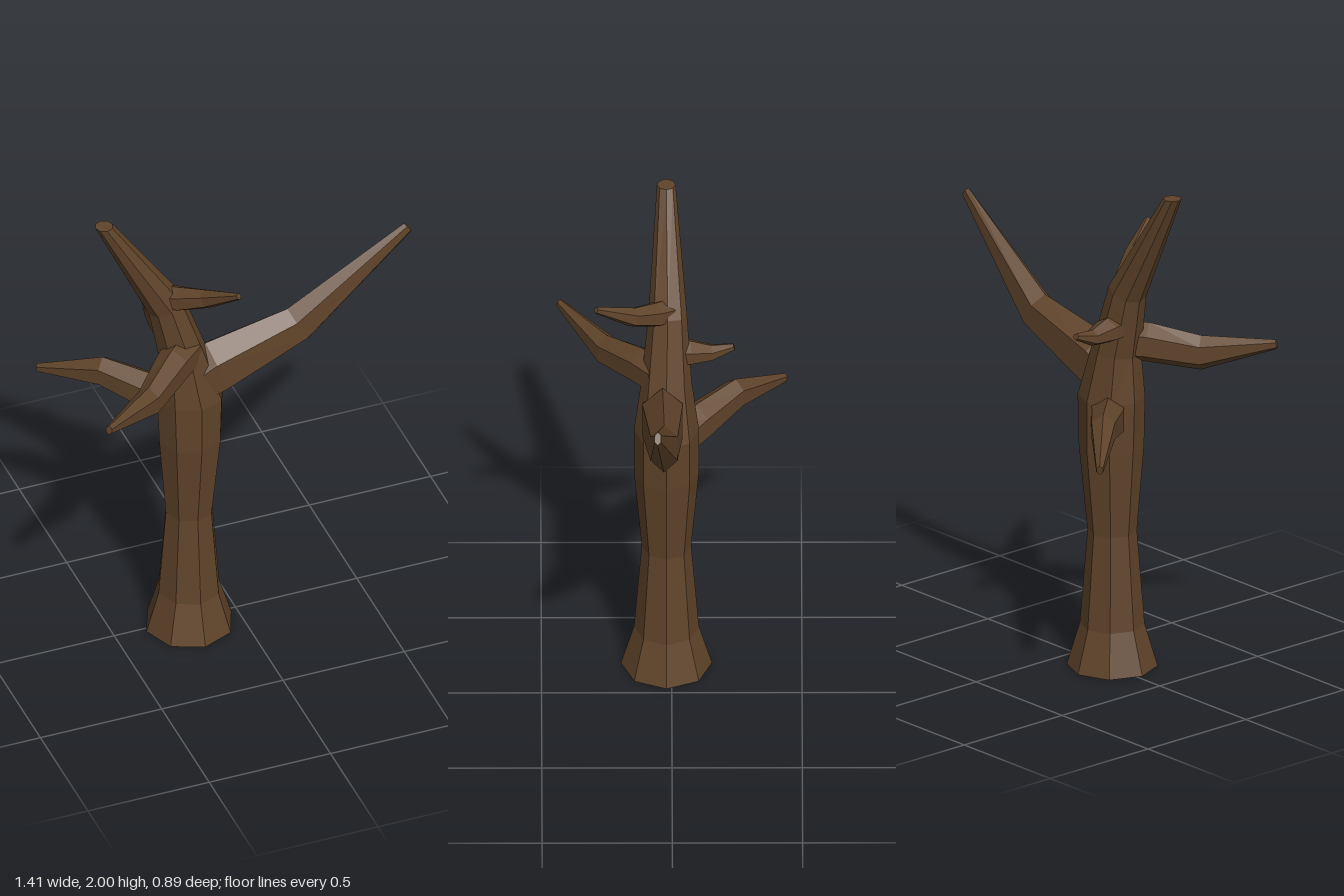
import * as THREE from 'three';

const bark = new THREE.MeshStandardMaterial({ color: 0x60442a, flatShading: true, roughness: 1 });

// Faceted limb through stations [x, y, z, radius along ref, radius across, optional ring normal].
function limb(name, sides, ref, stations) {
  const centres = stations.map(s => new THREE.Vector3(s[0], s[1], s[2]));
  const last = centres.length - 1;
  const rings = stations.map((s, k) => {
    const before = centres[k].clone().sub(centres[Math.max(k - 1, 0)]).normalize();
    const after = centres[Math.min(k + 1, last)].clone().sub(centres[k]).normalize();
    const t = s[5] ? new THREE.Vector3(...s[5]).normalize() : before.add(after).normalize();
    const u = ref.clone().addScaledVector(t, -ref.dot(t)).normalize();
    const v = t.clone().cross(u);
    return Array.from({ length: sides }, (_, i) => {
      const a = (i / sides) * Math.PI * 2;
      return centres[k].clone()
        .addScaledVector(u, Math.cos(a) * s[3])
        .addScaledVector(v, Math.sin(a) * s[4]);
    });
  });

  const points = [];
  for (let i = 0; i < sides; i++) {
    const j = (i + 1) % sides;
    for (let k = 0; k < last; k++) {
      const a = rings[k][i], b = rings[k][j], c = rings[k + 1][j], d = rings[k + 1][i];
      points.push(a, b, c, a, c, d);
    }
    // End caps
    points.push(centres[0], rings[0][j], rings[0][i]);
    points.push(centres[last], rings[last][i], rings[last][j]);
  }
  const geometry = new THREE.BufferGeometry().setFromPoints(points);
  geometry.computeVertexNormals();
  const mesh = new THREE.Mesh(geometry, bark);
  mesh.name = name;
  return mesh;
}

export function createModel() {
  const group = new THREE.Group();
  group.name = 'bareTree';
  const up = new THREE.Vector3(0, 1, 0);
  const front = new THREE.Vector3(0, 0, 1);

  group.add(
    // Trunk with flared foot, leaning into the broken top
    limb('trunk', 8, front, [
      [-0.2, 0, 0.02, 0.175, 0.175, [0, 1, 0]],
      [-0.2, 0.17, 0.02, 0.125, 0.125, [0, 1, 0]],
      [-0.2, 0.55, 0.02, 0.095, 0.095, [0, 1, 0]],
      [-0.195, 0.9, 0.02, 0.125, 0.127, [0, 1, 0]],
      [-0.195, 1.1, 0.02, 0.125, 0.135, [0, 1, 0]],
      [-0.225, 1.3, 0.02, 0.097, 0.095, [-0.2, 1, 0]],
      [-0.295, 1.555, 0.015, 0.075, 0.075, [-0.45, 1, 0]],
      [-0.55, 2, 0.02, 0.036, 0.036, [0, 1, 0]],
    ]),
    // Large fork on the left
    limb('largeBranch', 6, up, [
      [-0.2, 1.16, 0.03, 0.11, 0.09],
      [-0.1, 1.21, 0.035, 0.13, 0.09, [1, 0.3, 0]],
      [0.245, 1.32, 0.03, 0.092, 0.06],
      [0.69, 1.68, 0.055, 0.026, 0.014],
    ]),
    // Side branches on the right
    limb('frontSideBranch', 6, up, [
      [-0.22, 1.33, 0.04, 0.08, 0.075],
      [-0.3, 1.325, 0.11, 0.08, 0.07],
      [-0.455, 1.29, 0.25, 0.07, 0.05],
      [-0.69, 1.345, 0.43, 0.019, 0.015],
    ]),
    limb('backSideBranch', 6, up, [
      [-0.22, 1.04, -0.02, 0.08, 0.075],
      [-0.31, 1.055, -0.1, 0.085, 0.07],
      [-0.45, 1.088, -0.245, 0.067, 0.052],
      [-0.645, 1.025, -0.435, 0.019, 0.015],
    ]),
    // Small twigs near the top
    limb('frontTwig', 6, up, [
      [-0.29, 1.59, 0.02, 0.05, 0.055],
      [-0.25, 1.6, 0.065, 0.052, 0.05],
      [-0.178, 1.64, 0.15, 0.04, 0.036],
      [-0.1, 1.728, 0.29, 0.014, 0.012],
    ]),
    limb('backTwig', 6, up, [
      [-0.27, 1.41, 0, 0.05, 0.06],
      [-0.275, 1.408, -0.07, 0.05, 0.058],
      [-0.283, 1.4, -0.155, 0.032, 0.036],
      [-0.285, 1.425, -0.24, 0.013, 0.015],
    ]),
  );
  return group;
}
